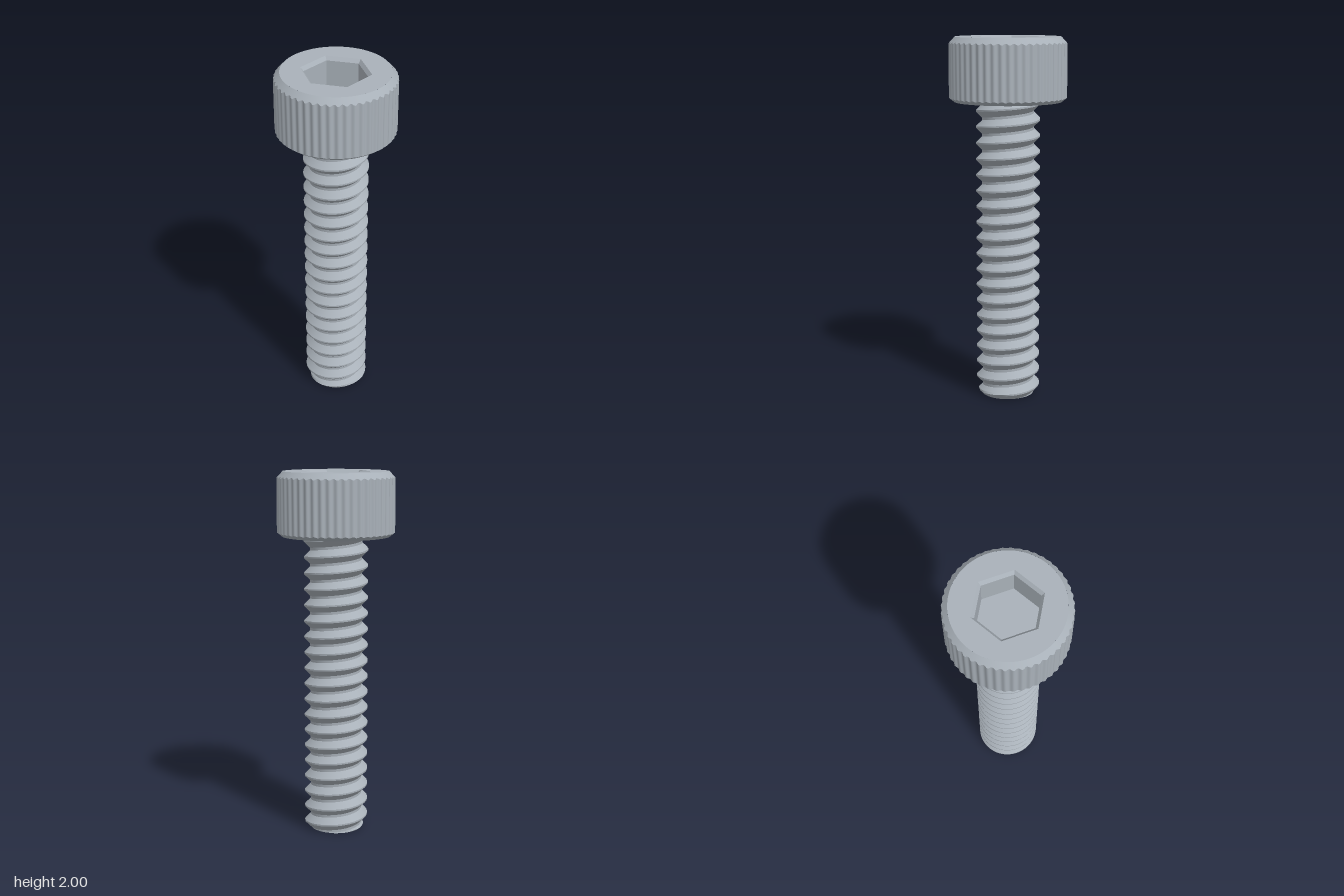
import * as THREE from 'three';
import { mergeGeometries } from 'three/addons/utils/BufferGeometryUtils.js';

const TAU = Math.PI * 2;

// Surface between two curves around the y axis; each curve maps angle -> [radius, height].
// It faces outward when curve a is below curve b.
function band(a, b, n, { turns = 1, flat = false } = {}) {
  const closed = turns === 1;
  const pos = [], index = [];
  const count = closed ? n : n * turns + 1;
  for (let i = 0; i < count; i++) {
    const t = (i / n) * TAU;
    for (const [r, y] of [a(t), b(t)]) pos.push(r * Math.cos(t), y, -r * Math.sin(t));
  }
  for (let i = 0; i < n * turns; i++) {
    const p = i * 2, q = (closed ? (i + 1) % n : i + 1) * 2;
    index.push(p, q, p + 1, q, q + 1, p + 1);
  }
  let g = new THREE.BufferGeometry();
  g.setAttribute('position', new THREE.Float32BufferAttribute(pos, 3));
  g.setIndex(index);
  if (flat) g = g.toNonIndexed();
  g.computeVertexNormals();
  return flat ? g : g.toNonIndexed();
}

const circle = (r, y) => () => [r, y];

// Hexagon with corners on the x axis, as a polar curve
const hexagon = (corner, y) => (t) => {
  const a = (((t + 1e-9) % (Math.PI / 3)) - Math.PI / 6);
  return [corner * Math.cos(Math.PI / 6) / Math.cos(a), y];
};

// Head
const TOP = 2, SEAT = 1.65, FLUTES = 48;
const flute = (t) => 0.318 + 0.004 * Math.cos(FLUTES * t);
const lowerEdge = (t) => [flute(t), SEAT + (flute(t) - 0.294) * 0.8];
const upperEdge = (t) => [flute(t), TOP - (flute(t) - 0.289) * 1.1];

// Thread
const PITCH = 0.0883, MAJOR = 0.176, MINOR = 0.143, TIP = 0.146, PHASE = 0.03;
const CREST = 0.05, ROOT = 0.42;
function threadRadius(t, y) {
  const f = (y - PHASE) / PITCH - t / TAU;
  const d = Math.abs(f - Math.round(f));
  const k = THREE.MathUtils.clamp((d - CREST) / (ROOT - CREST), 0, 1);
  return Math.min(MAJOR + (MINOR - MAJOR) * k, TIP + y);
}
const helix = (offset) => (t) => {
  const y = THREE.MathUtils.clamp(PHASE + PITCH * (t / TAU - 2 + offset), 0, SEAT + 0.005);
  return [threadRadius(t, y), y];
};

export function createModel() {
  const model = new THREE.Group();
  const steel = new THREE.MeshStandardMaterial({ color: 0xa9b1b9 });
  steel.name = 'steel';
  const add = (name, parts) => {
    const mesh = new THREE.Mesh(mergeGeometries(parts), steel);
    mesh.name = name;
    model.add(mesh);
  };

  // Fluted head with chamfered rims and a hexagonal opening in the top
  const n = FLUTES * 8;
  add('head', [
    band(circle(0, SEAT), circle(0.294, SEAT), 96),
    band(circle(0.294, SEAT), lowerEdge, n),
    band(lowerEdge, upperEdge, n),
    band(upperEdge, circle(0.289, TOP), n),
    band(circle(0.289, TOP), hexagon(0.188, TOP), 96, { flat: true }),
  ]);

  // Socket: bevelled lip, walls and floor
  const floor = TOP - 0.18;
  add('hexSocket', [
    band(hexagon(0.188, TOP), hexagon(0.171, TOP - 0.02), 6, { flat: true }),
    band(hexagon(0.171, TOP - 0.02), hexagon(0.171, floor), 6, { flat: true }),
    band(hexagon(0.171, floor), circle(0, floor), 6, { flat: true }),
  ]);

  // Right-hand helical thread: crest, flanks and root as separate strips
  const rows = [-ROOT, -0.3, -0.17, -CREST, CREST, 0.17, 0.3, ROOT, 1 - ROOT];
  const turns = Math.ceil(SEAT / PITCH) + 4;
  const strips = [];
  for (let i = 0; i + 1 < rows.length; i++) {
    strips.push(band(helix(rows[i]), helix(rows[i + 1]), 72, { turns }));
  }
  add('threadedShank', strips);

  // Flat end of the shank
  add('shankTip', [band(circle(0, 0), (t) => [threadRadius(t, 0), 0], 72, { flat: true })]);

  return model;
}
